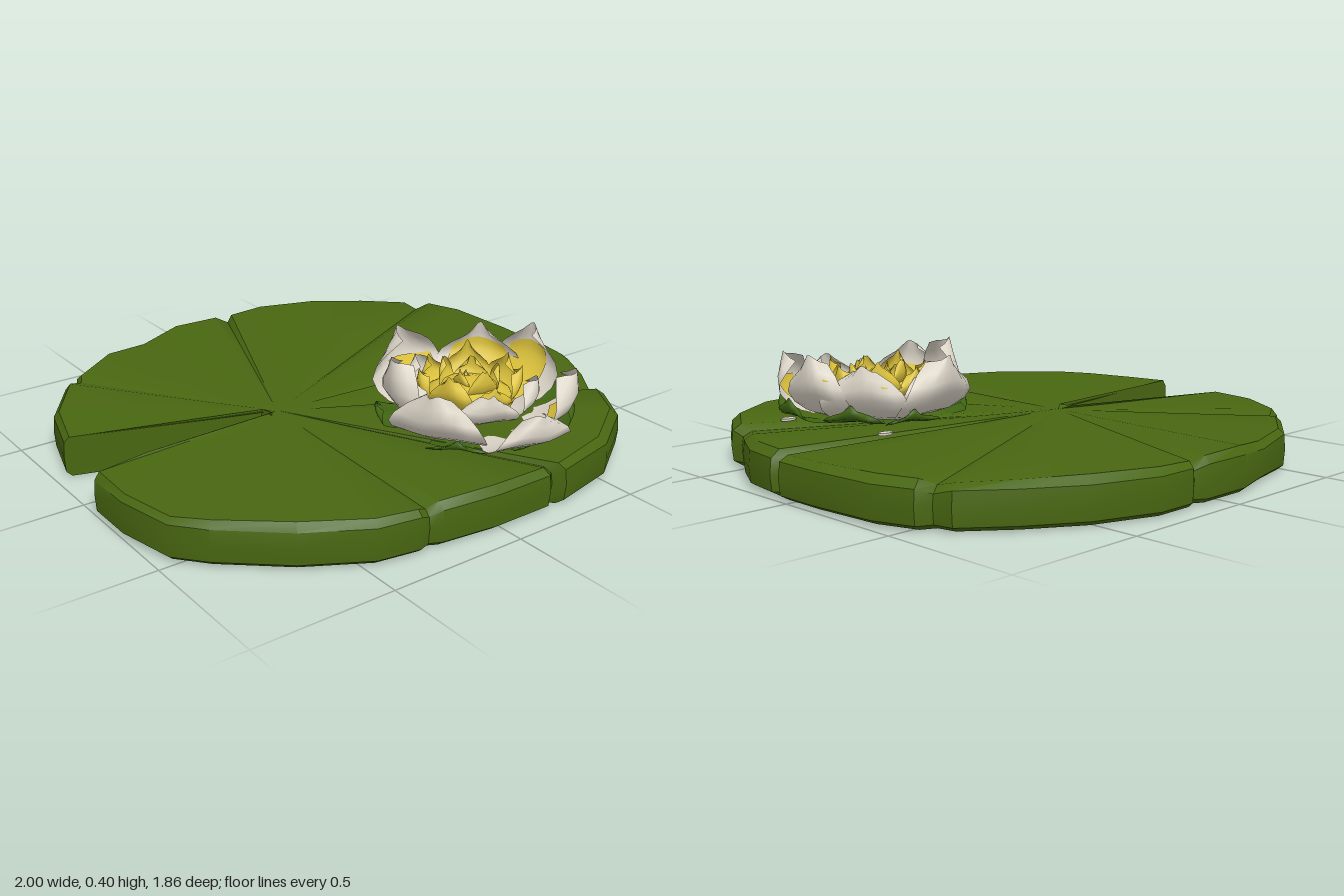
import * as THREE from 'three';
import { toCreasedNormals } from 'three/addons/utils/BufferGeometryUtils.js';

const mat = (name, color, side = THREE.FrontSide) => {
  const m = new THREE.MeshStandardMaterial({ color, side });
  m.name = name;
  return m;
};

// Pad rim, counter-clockwise seen from above: x, z
const RIM = [
  [-0.28, 0.03], [-0.8, 0.06], [-1, 0.09], [-1, 0.27], [-0.955, 0.48], [-0.87, 0.58], [-0.67, 0.75],
  [-0.46, 0.87], [-0.31, 0.895], [-0.27, 0.88], [-0.23, 0.9], [-0.02, 0.925], [0.2, 0.925],
  [0.24, 0.89], [0.27, 0.925], [0.52, 0.87], [0.73, 0.73], [0.83, 0.57], [0.82, 0.52], [0.9, 0.39],
  [0.97, 0.25], [0.99, 0.1], [0.96, 0.07], [1, 0.04], [1, -0.13], [0.98, -0.39], [0.93, -0.53],
  [0.88, -0.555], [0.865, -0.62], [0.715, -0.74], [0.53, -0.855], [0.3, -0.935], [0.15, -0.935],
  [0.115, -0.91], [0.07, -0.935], [-0.125, -0.935], [-0.31, -0.88], [-0.49, -0.84], [-0.68, -0.7],
  [-0.7, -0.66], [-0.76, -0.63], [-0.9, -0.43], [-0.96, -0.22], [-0.29, -0.02],
];
const DENTS = [9, 13, 18, 22, 27, 33, 36, 39]; // rim points where a crease meets the edge

// Leaf slab: rings lofted from the bottom hub, round the rim, to the top hub
function padGeometry() {
  const hub = [-0.24, 0.005], n = RIM.length;
  const rings = [[0, 0.004], [0.97, 0.002], [0.995, 0.02], [1, 0.075], [0.995, 0.13], [0.97, 0.152],
    [0.65, 0.147], [0.3, 0.142], [0, 0.14]];
  const pos = [], index = [];
  rings.forEach(([s, y], k) => RIM.forEach(([x, z], i) => {
    const crease = k > 3 && DENTS.includes(i) ? 0.018 * s : 0;
    const ripple = k > 4 ? 0.005 * s * Math.sin(i * 1.3) : 0;
    pos.push(hub[0] + (x - hub[0]) * s, y - crease + ripple, hub[1] + (z - hub[1]) * s);
  }));
  for (let k = 0; k < rings.length - 1; k++) {
    for (let i = 0; i < n; i++) {
      const a = k * n + i, b = k * n + (i + 1) % n;
      if (k > 0) index.push(a, b, b + n);
      if (k < rings.length - 2) index.push(a, b + n, a + n);
      else if (k === 0) index.push(a, b + n, a + n);
    }
  }
  // The bottom fan starts at the hub ring
  const g = new THREE.BufferGeometry();
  g.setAttribute('position', new THREE.Float32BufferAttribute(pos, 3));
  g.setIndex(index);
  return toCreasedNormals(g, 0.6);
}

const CENTRE = [0.28, 0.43];

// Cupped petal sheet; range [u0, u1, v0, v1] cuts a patch out, lift moves it inward
function petalGeometry({ tip, h, w, y0 = 0.145, curl = 0.4 }, range = [-1, 1, 0, 1], lift = 0) {
  const dx = tip[0] - CENTRE[0], dz = tip[1] - CENTRE[1];
  const R = Math.hypot(dx, dz), cx = dx / R, cz = dz / R;
  const profile = new THREE.CatmullRomCurve3([
    [R * 0.25, y0], [R * 0.66, y0 + (h - y0) * 0.08], [R * 0.96, y0 + (h - y0) * 0.5], [R * 0.95, h],
  ].map(([r, y]) => new THREE.Vector3(r, y, 0)));
  const nu = 8, nv = 8, pos = [], index = [];
  for (let j = 0; j <= nv; j++) {
    const v = range[2] + (range[3] - range[2]) * j / nv;
    const p = profile.getPoint(v);
    const half = w * Math.sin(Math.PI * (0.12 + 0.8 * v ** 1.3));
    for (let i = 0; i <= nu; i++) {
      const u = range[0] + (range[1] - range[0]) * i / nu;
      const r = p.x - curl * w * u * u * v - lift;
      const y = p.y + lift - 0.025 * u * u * v * v + 0.006 * Math.sin(u * 5 + R * 40) * v;
      pos.push(CENTRE[0] + cx * r - cz * u * half, y, CENTRE[1] + cz * r + cx * u * half);
    }
  }
  for (let j = 0; j < nv; j++) {
    for (let i = 0; i < nu; i++) {
      const a = j * (nu + 1) + i, b = a + nu + 1;
      index.push(a, b, a + 1, a + 1, b, b + 1);
    }
  }
  const g = new THREE.BufferGeometry();
  g.setAttribute('position', new THREE.Float32BufferAttribute(pos, 3));
  g.setIndex(index);
  g.computeVertexNormals();
  return g;
}

const around = (angle, r) => [CENTRE[0] + Math.cos(angle) * r, CENTRE[1] + Math.sin(angle) * r];

export function createModel() {
  const leafGreen = mat('leafGreen', 0x486611);
  const sepalGreen = mat('sepalGreen', 0x3f6412, THREE.DoubleSide);
  const petalWhite = mat('petalWhite', 0xdcd5c8, THREE.DoubleSide);
  const pollenYellow = mat('pollenYellow', 0xdcc23c, THREE.DoubleSide);

  const model = new THREE.Group();
  model.name = 'waterLily';
  const flower = new THREE.Group();
  flower.name = 'flower';
  const add = (parent, name, geometry, material) => {
    const m = new THREE.Mesh(geometry, material);
    m.name = name;
    parent.add(m);
    return m;
  };

  add(model, 'lilyPad', padGeometry(), leafGreen);
  model.add(flower);

  // Outer petals, some with a yellow patch inside
  const outer = [
    { tip: [0.23, 0.07], h: 0.38, w: 0.18, patch: [-0.3, 0.8, 0.3, 0.65] },
    { tip: [0.55, 0.19], h: 0.36, w: 0.16, patch: [-0.7, 0.7, 0.25, 0.8] },
    { tip: [0.65, 0.38], h: 0.39, w: 0.15, patch: [-0.7, 0.5, 0.25, 0.8] },
    { tip: [0.5, 0.75], h: 0.36, w: 0.16, patch: [-0.6, 0.5, 0.4, 0.72] },
    { tip: [0.21, 0.88], h: 0.31, w: 0.15 },
    { tip: [-0.07, 0.63], h: 0.36, w: 0.17, patch: [-0.4, 0.3, 0.4, 0.7] },
    { tip: [-0.03, 0.36], h: 0.4, w: 0.16 },
  ];
  for (const p of outer) {
    add(flower, 'outerPetal', petalGeometry(p), petalWhite);
    if (p.patch) add(flower, 'petalPatch', petalGeometry(p, p.patch, 0.006), pollenYellow);
  }

  // Inner white petals
  for (const a of [0.9, 2.0, 3.3, 4.5]) {
    add(flower, 'innerPetal', petalGeometry({ tip: around(a, 0.25), h: 0.31, w: 0.12, y0: 0.17 }), petalWhite);
  }

  // Ruffled yellow heart: two rings of small cups over a low dome
  const rings = [[7, 0.19, 0.33, 0.085, 0.2], [5, 0.11, 0.33, 0.06, 0.23], [3, 0.05, 0.31, 0.04, 0.25]];
  rings.forEach(([count, r, h, w, y0], k) => {
    for (let i = 0; i < count; i++) {
      const tip = around((i / count) * Math.PI * 2 + k * 0.5, r);
      add(flower, 'stamen', petalGeometry({ tip, h: h + 0.02 * Math.sin(i * 2.4), w, y0 }), pollenYellow);
    }
  });
  const dome = add(flower, 'heartDome', new THREE.SphereGeometry(0.16, 16, 8), pollenYellow);
  dome.scale.y = 0.4;
  dome.position.set(CENTRE[0], 0.21, CENTRE[1]);

  // Green sepals under the flower
  for (const [a, r, h] of [[0.15, 0.39, 0.23], [0.75, 0.38, 0.22], [-0.6, 0.35, 0.22], [2.4, 0.35, 0.19],
    [3.7, 0.34, 0.2], [-1.3, 0.34, 0.2], [1.5, 0.36, 0.2]]) {
    add(flower, 'sepal', petalGeometry({ tip: around(a, r), h, w: 0.11, y0: 0.14, curl: 0.2 }), sepalGreen);
  }

  // Fallen petal scraps lying on the pad
  for (const [x, z, s] of [[0.565, 0.04, 0.03], [0.65, 0.48, 0.032]]) {
    const scrap = add(model, 'petalScrap', new THREE.CylinderGeometry(s, s, 0.008, 7), petalWhite);
    scrap.position.set(x, 0.158, z);
    scrap.scale.z = 0.6;
  }
  return model;
}
